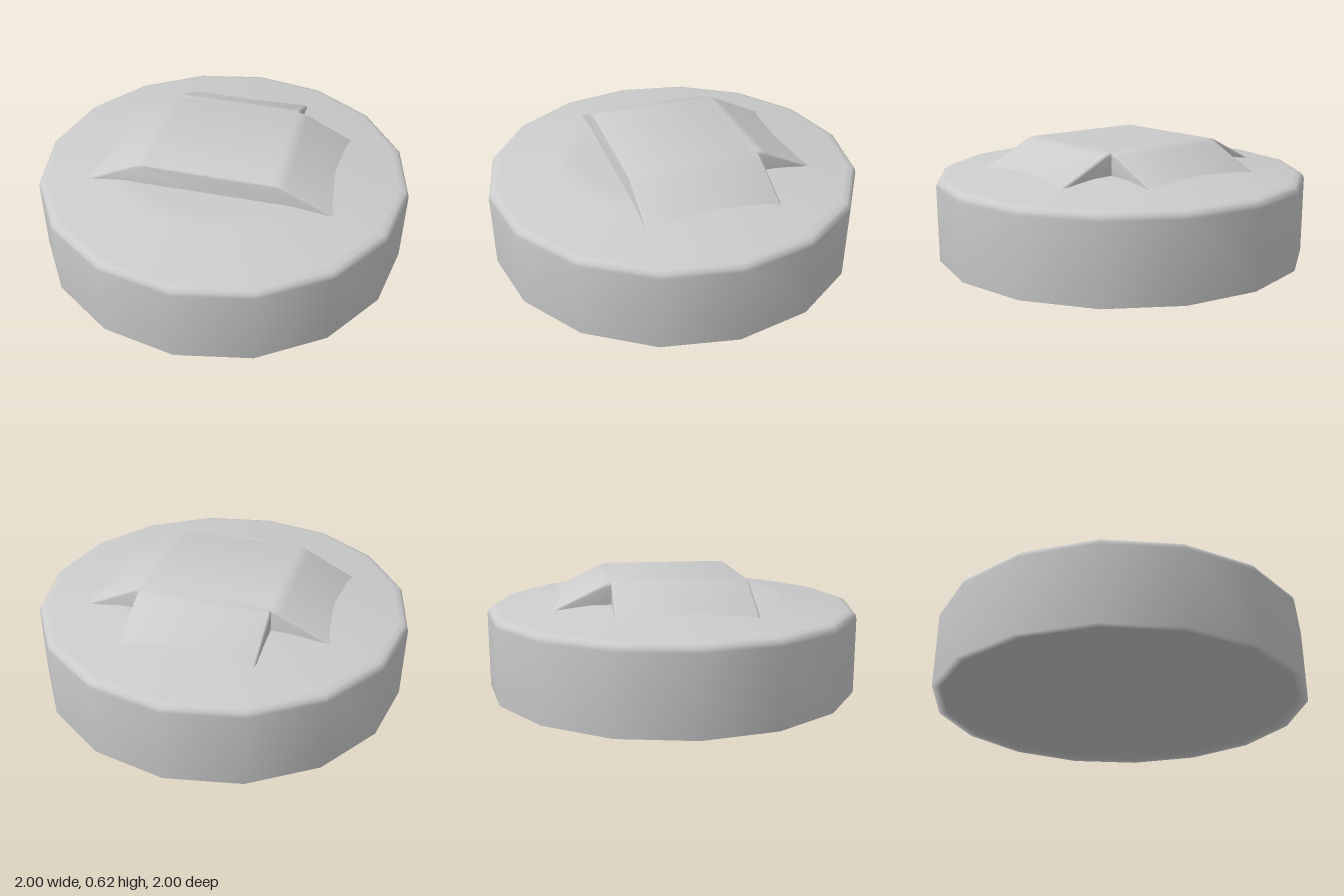
import * as THREE from 'three';
import { toCreasedNormals } from 'three/addons/utils/BufferGeometryUtils.js';

const grey = () => new THREE.MeshStandardMaterial({ color: 0xcccccc, side: THREE.DoubleSide });
const TOP = 0.615, HALF = 0.35;

// Sloping end of a raised prism, from the flat top down into the cap
function slopeRight(shape) {
  shape.lineTo(0.72, 0.42);
  shape.lineTo(0.72, 0.44);
  shape.lineTo(0.40, 0.597);
  shape.quadraticCurveTo(0.37, TOP, 0.33, TOP);
}

// Prism with softly bevelled ends, centred on its extrusion axis
function prism(name, shape) {
  const bevel = 0.012;
  const geo = new THREE.ExtrudeGeometry(shape, {
    depth: 2 * (HALF - bevel), curveSegments: 5,
    bevelThickness: bevel, bevelSize: bevel, bevelOffset: -bevel, bevelSegments: 2,
  });
  geo.translate(0, 0, -(HALF - bevel));
  const mesh = new THREE.Mesh(toCreasedNormals(geo, 0.8), grey());
  mesh.name = name;
  return mesh;
}

export function createModel() {
  const group = new THREE.Group();
  group.name = 'cap';

  // Sixteen-sided smooth body with a shallow recess inside its bottom rim
  const profile = [
    [0, 0.03], [0.96, 0.03], [0.96, 0], [1, 0],
    [1, 0.40], [0.995, 0.42], [0.98, 0.435], [0.95, 0.443],
    [0.62, 0.494], [0.58, 0.499], [0.53, 0.5], [0, 0.5],
  ].map(([r, y]) => new THREE.Vector2(r, y));
  const body = new THREE.Mesh(new THREE.LatheGeometry(profile, 16), grey());
  body.name = 'body';
  group.add(body);

  // Central block with a slope on its left and right
  const wide = new THREE.Shape();
  wide.moveTo(-0.72, 0.42);
  slopeRight(wide);
  wide.lineTo(-0.33, TOP);
  wide.quadraticCurveTo(-0.37, TOP, -0.40, 0.597);
  wide.lineTo(-0.72, 0.44);
  group.add(prism('raisedBlock', wide));

  // Third slope at the back
  const back = new THREE.Shape();
  back.moveTo(0.32, 0.42);
  slopeRight(back);
  back.lineTo(0.32, TOP);
  const backSlope = prism('backSlope', back);
  backSlope.rotation.y = Math.PI / 2;
  group.add(backSlope);

  return group;
}
